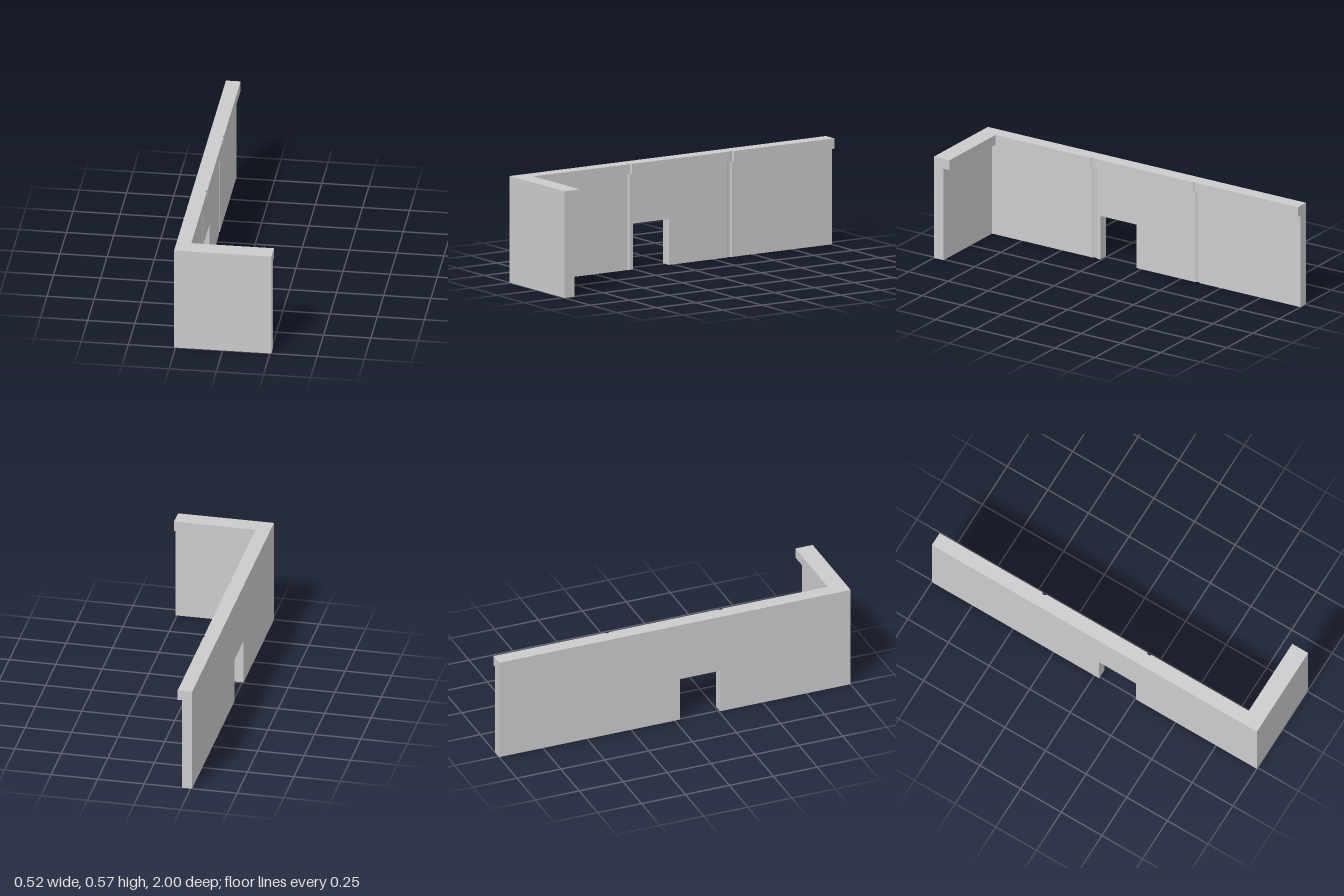
import * as THREE from 'three';

const X = 0.258;              // half width
const WALL_X = -0.203;        // inner face of the long wall
const LIP_X = -0.18;          // inner face of its coping
const GROOVES = [0.292, -0.354];
const DOOR = { front: 0.257, back: 0.03, top: 0.245 };
const LIP_Y = 0.515, TOP_Y = 0.57;

const material = new THREE.MeshStandardMaterial({ color: 0xcccccc, flatShading: true });

// Inner edge of the long wall from zFront to zBack, with the shallow panel grooves
function innerEdge(x, zFront, zBack) {
  const points = [[x, zFront]];
  for (const z of GROOVES) {
    if (z > zFront || z < zBack) continue;
    points.push([x, z + 0.013], [x - 0.008, z + 0.006], [x - 0.008, z - 0.006], [x, z - 0.013]);
  }
  points.push([x, zBack]);
  return points;
}

// Raise a floor plan of [x, z] points from y0 to y1
function raise(name, plan, y0, y1) {
  const shape = new THREE.Shape(plan.map(([x, z]) => new THREE.Vector2(x, -z)));
  const geometry = new THREE.ExtrudeGeometry(shape, { depth: y1 - y0, bevelEnabled: false });
  geometry.rotateX(-Math.PI / 2).translate(0, y0, 0);
  const mesh = new THREE.Mesh(geometry, material);
  mesh.name = name;
  return mesh;
}

// L-shaped plan: front return wall plus the long wall back to zBack
const cornerPlan = (x, zInner, zBack) =>
  [[-X, 1], [X, 1], [X, zInner], ...innerEdge(x, zInner, zBack), [-X, zBack]];

export function createModel() {
  const group = new THREE.Group();
  group.name = 'cornerWall';
  group.add(
    // wall on either side of the doorway
    raise('lowerCornerWall', cornerPlan(WALL_X, 0.938, DOOR.front), 0, DOOR.top),
    raise('lowerRearWall',
      [[-X, DOOR.back], ...innerEdge(WALL_X, DOOR.back, -1), [-X, -1]], 0, DOOR.top),
    // wall above the doorway
    raise('upperWall', cornerPlan(WALL_X, 0.938, -1), DOOR.top, LIP_Y),
    // overhanging coping
    raise('coping', cornerPlan(LIP_X, 0.902, -1), LIP_Y, TOP_Y)
  );
  return group;
}
